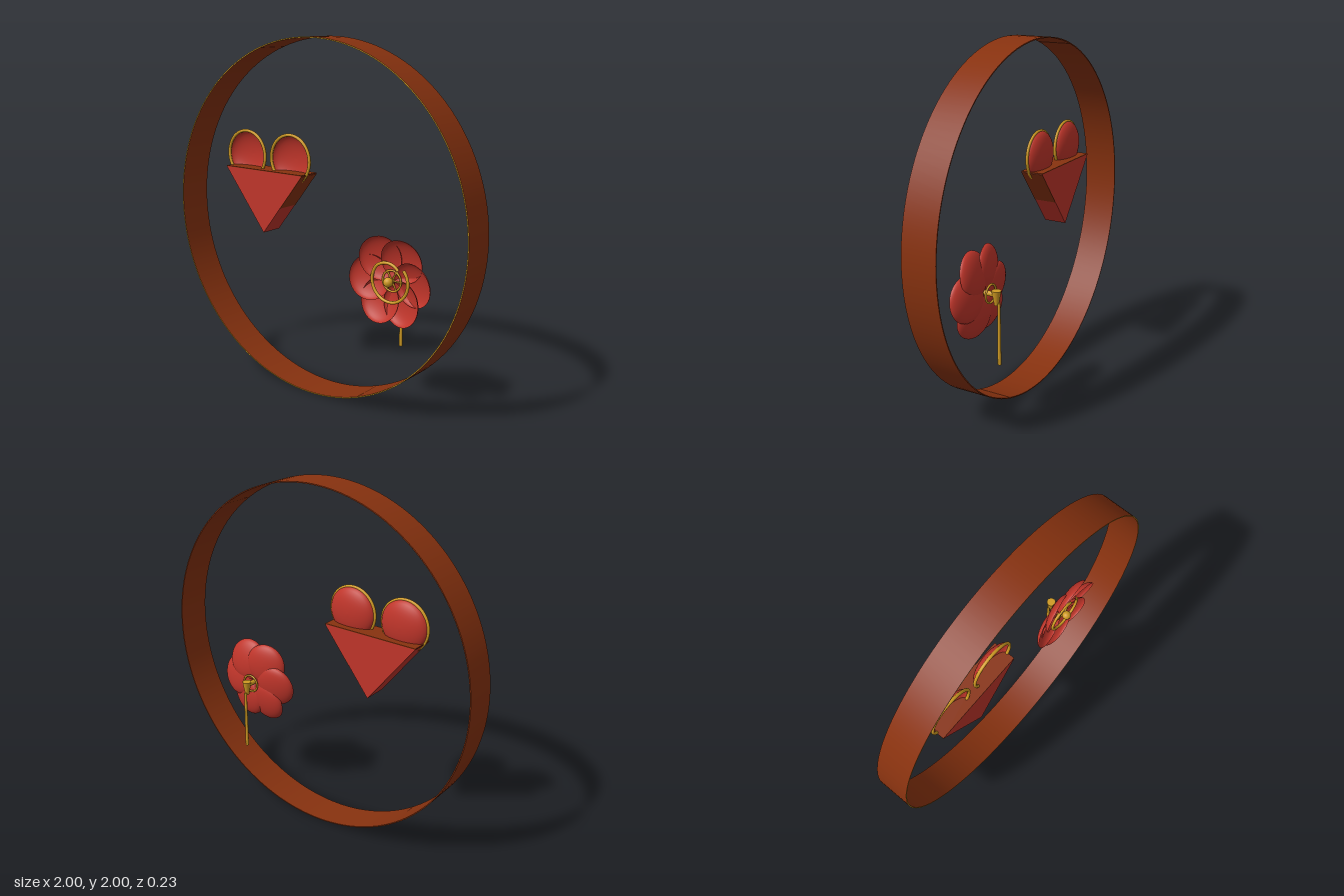
import * as THREE from 'three';

const mat = (name, color, side = THREE.FrontSide) => {
  const m = new THREE.MeshStandardMaterial({ color, side });
  m.name = name;
  return m;
};

export function createModel() {
  const red = mat('red', 0xc0352a, THREE.DoubleSide);
  const gold = mat('gold', 0xcf9a22);
  const brown = mat('brown', 0x88320f);
  const model = new THREE.Group();

  const add = (parent, name, geometry, material, x = 0, y = 0, z = 0) => {
    const mesh = new THREE.Mesh(geometry, material);
    mesh.name = name;
    mesh.position.set(x, y, z);
    parent.add(mesh);
    return mesh;
  };
  const group = (name, x, y, z) => {
    const g = new THREE.Group();
    g.name = name;
    g.position.set(x, y, z);
    model.add(g);
    return g;
  };
  // Shallow round bowl, open towards +z, rim lying at z = 0
  const bowl = (radius, depth) => {
    const pts = [];
    for (let i = 0; i <= 10; i++) {
      const t = (i / 10) * Math.PI / 2;
      pts.push(new THREE.Vector2(radius * Math.sin(t), -depth * Math.cos(t)));
    }
    return new THREE.LatheGeometry(pts, 40).rotateX(Math.PI / 2);
  };

  // Thin round hoop: brown band with fine gold edges
  const hoop = group('hoop', 0, 1, 0.015);
  const wall = (r) => new THREE.CylinderGeometry(r, r, 0.2, 128, 1, true).rotateX(Math.PI / 2);
  add(hoop, 'hoopOuterWall', wall(1), brown);
  const inner = wall(0.994);
  inner.scale(-1, 1, 1);
  // mirrored wall faces the middle of the hoop
  const n = inner.attributes.normal;
  for (let i = 0; i < n.count; i++) n.setXYZ(i, -n.getX(i), -n.getY(i), -n.getZ(i));
  const idx = inner.index;
  const a = new THREE.Vector3(), b = new THREE.Vector3(), c = new THREE.Vector3();
  a.fromBufferAttribute(inner.attributes.position, idx.getX(0));
  b.fromBufferAttribute(inner.attributes.position, idx.getX(1)).sub(a);
  c.fromBufferAttribute(inner.attributes.position, idx.getX(2)).sub(a);
  if (b.cross(c).dot(a.setZ(0)) > 0) {
    for (let i = 0; i < idx.count; i += 3) {
      const t = idx.getX(i);
      idx.setX(i, idx.getX(i + 1));
      idx.setX(i + 1, t);
    }
  }
  add(hoop, 'hoopInnerWall', inner, brown);
  const edge = new THREE.RingGeometry(0.994, 1, 128);
  add(hoop, 'hoopFrontEdge', edge, gold, 0, 0, 0.1);
  add(hoop, 'hoopBackEdge', edge, brown, 0, 0, -0.1).rotation.y = Math.PI;

  // Heart: a wedge below, two rimmed bowls above
  const heart = group('heart', -0.365, 1.24, 0.013);
  const half = 0.285, drop = 0.36, depth = 0.135;
  const tri = new THREE.Shape([
    new THREE.Vector2(-half, 0), new THREE.Vector2(0, -drop), new THREE.Vector2(half, 0),
  ]);
  add(heart, 'heartWedge',
    new THREE.ExtrudeGeometry(tri, { depth, bevelEnabled: false }).translate(0, 0, -depth / 2), red);
  add(heart, 'wedgeTop', new THREE.BoxGeometry(half * 2, 0.005, depth), brown, 0, 0.002, 0);
  // Brown panel on the upper part of the left slope
  const slope = Math.hypot(half, drop);
  const panel = add(heart, 'slopePanel', new THREE.BoxGeometry(0.004, slope * 0.55, depth),
    brown, half * 0.72, -drop * 0.28, 0);
  panel.rotation.z = -Math.atan2(half, drop);
  for (const side of [-1, 1]) {
    add(heart, 'heartLobe', bowl(0.14, 0.055), red, side * 0.164, 0.075, 0.02);
    add(heart, 'lobeRim', new THREE.TorusGeometry(0.14, 0.009, 10, 48), gold,
      side * 0.164, 0.075, 0.02);
  }

  // Flower: six overlapping cupped petals
  const flower = group('flower', 0.475, 0.725, 0);
  for (let i = 0; i < 6; i++) {
    const arm = new THREE.Group();
    arm.name = 'petalArm';
    arm.rotation.z = i * Math.PI / 3;
    flower.add(arm);
    const petal = add(arm, 'petal', bowl(0.125, 0.045), red, 0.135, 0, 0.01);
    petal.rotation.set(0.14, -0.15, 0);
    // Stamen leaning out from the centre
    const stamen = add(arm, 'stamen', new THREE.CylinderGeometry(0.005, 0.005, 0.06, 8),
      gold, 0.035, 0, -0.005);
    stamen.rotation.z = Math.PI / 2;
  }
  // Gold coil around the centre
  const coil = [];
  for (let i = 0; i <= 24; i++) {
    const t = i / 24, angle = 0.9 + t * 6.1, r = 0.085 + 0.03 * Math.min(1, t * 4);
    coil.push(new THREE.Vector3(r * Math.cos(angle), r * Math.sin(angle), 0.015));
  }
  add(flower, 'coil',
    new THREE.TubeGeometry(new THREE.CatmullRomCurve3(coil), 96, 0.009, 10), gold);
  add(flower, 'innerRingFront', new THREE.TorusGeometry(0.058, 0.006, 8, 32), gold, 0, 0, -0.005);
  add(flower, 'innerRingBack', new THREE.TorusGeometry(0.05, 0.006, 8, 32), gold, 0, 0, -0.055);
  // Pistil through the middle, with a knob at each end
  add(flower, 'pistil', new THREE.CylinderGeometry(0.014, 0.014, 0.13, 16).rotateX(Math.PI / 2),
    gold, 0, 0, -0.03);
  add(flower, 'pistilTip', new THREE.SphereGeometry(0.027, 20, 14), gold, 0, 0, 0.03);
  add(flower, 'stemCup', new THREE.CylinderGeometry(0.026, 0.012, 0.08, 20),
    gold, 0, -0.017, -0.089);
  // Stem hanging behind the petals
  add(flower, 'stem', new THREE.CylinderGeometry(0.008, 0.01, 0.35, 14), gold, 0, -0.22, -0.104);

  return model;
}
